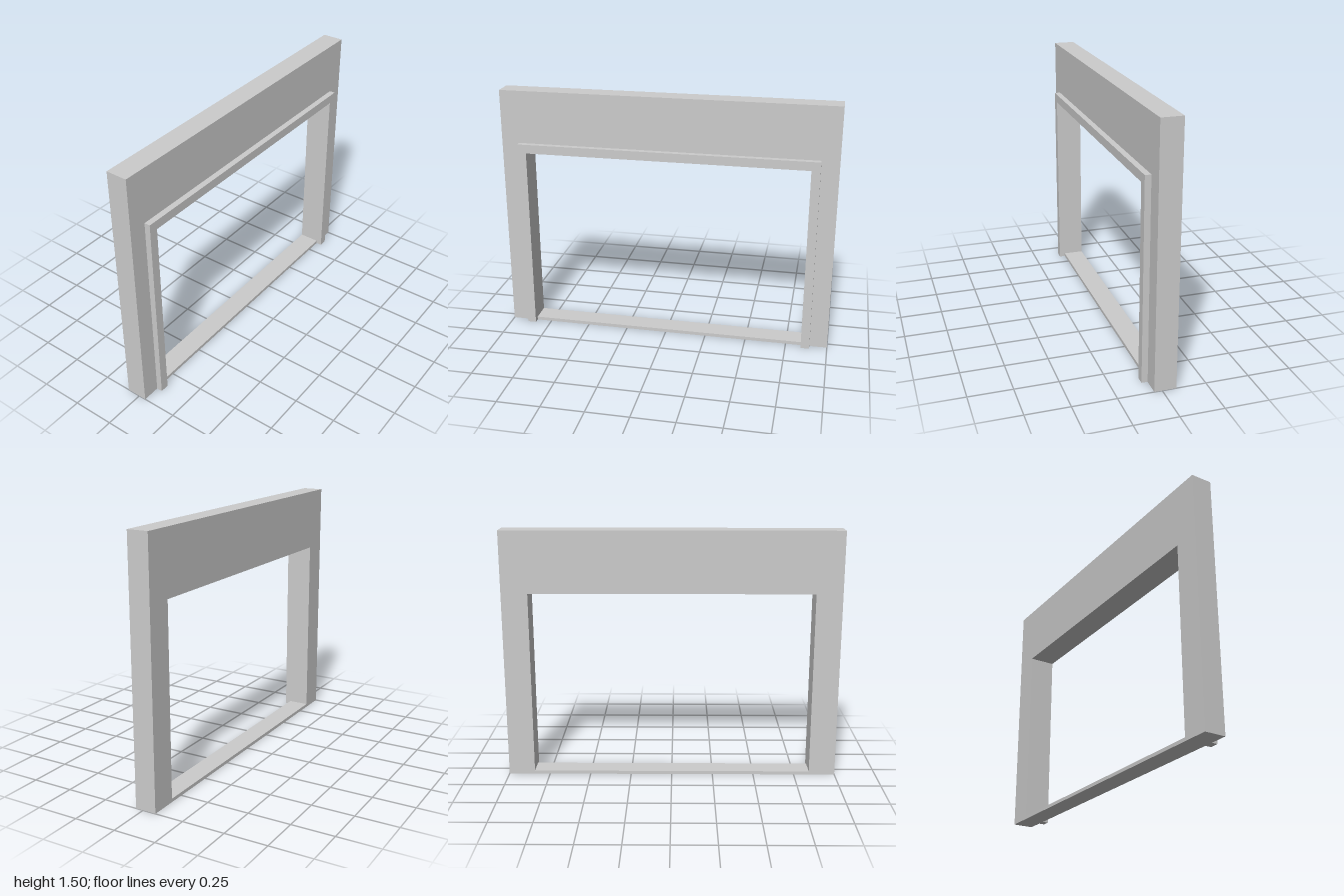
import * as THREE from 'three';

const OPEN_X = 0.843, OPEN_TOP = 1.13, SILL = 0.02; // doorway opening
const BACK = -0.08, FACE = 0.045, FRONT = 0.08;     // depth planes

const polygon = (Type, points) => new Type(points.map(([x, y]) => new THREE.Vector2(x, y)));

export function createModel() {
  const group = new THREE.Group();
  const material = new THREE.MeshStandardMaterial({ color: 0xcccccc, flatShading: true });

  const addSlab = (name, shape, z0, z1) => {
    const geometry = new THREE.ExtrudeGeometry(shape, { depth: z1 - z0, bevelEnabled: false });
    geometry.translate(0, 0, z0);
    const mesh = new THREE.Mesh(geometry, material);
    mesh.name = name;
    group.add(mesh);
  };

  // Wall with a rectangular opening above a thin threshold
  const wall = polygon(THREE.Shape, [[-1, 0], [1, 0], [1, 1.5], [-1, 1.5]]);
  wall.holes.push(polygon(THREE.Path, [
    [-OPEN_X, SILL], [-OPEN_X, OPEN_TOP], [OPEN_X, OPEN_TOP], [OPEN_X, SILL],
  ]));
  addSlab('wall', wall, BACK, FACE);

  // Raised trim around the sides and top of the opening
  const trimX = 0.895, trimTop = 1.183;
  addSlab('doorTrim', polygon(THREE.Shape, [
    [-trimX, 0], [-OPEN_X, 0], [-OPEN_X, OPEN_TOP], [OPEN_X, OPEN_TOP],
    [OPEN_X, 0], [trimX, 0], [trimX, trimTop], [-trimX, trimTop],
  ]), FACE, FRONT);

  return group;
}
